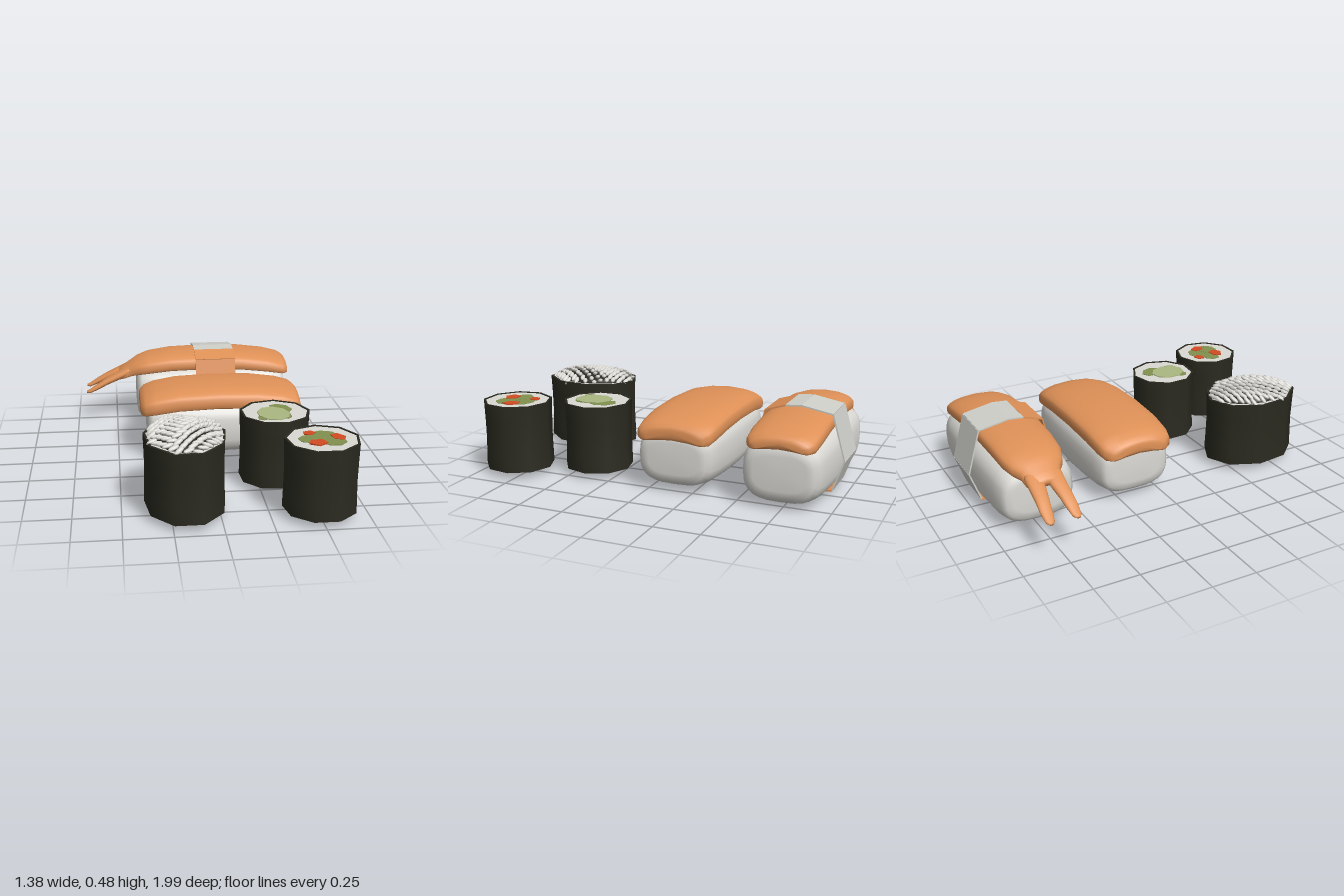
import * as THREE from 'three';
import { toCreasedNormals } from 'three/addons/utils/BufferGeometryUtils.js';

const mat = (name, color) => new THREE.MeshStandardMaterial({ name, color, side: THREE.DoubleSide });

export function createModel() {
  const root = new THREE.Group();
  root.name = 'sushiSet';
  const rice = mat('rice', 0xdad9d4);
  const seafood = mat('seafood', 0xdf9157);
  const seaweed = mat('seaweed', 0x2a2a20);
  const bandPale = mat('bandPale', 0xcfcfca);
  const green = mat('green', 0x82924f);
  const paleGreen = mat('paleGreen', 0xabb981);
  const red = mat('red', 0xd44c22);

  const add = (parent, name, geometry, material, x = 0, y = 0, z = 0) => {
    const m = new THREE.Mesh(geometry, material);
    m.name = name;
    m.position.set(x, y, z);
    parent.add(m);
    return m;
  };
  const group = (name) => {
    const g = new THREE.Group();
    g.name = name;
    root.add(g);
    return g;
  };

  // Smooth loft along x; stations are [x, centreY, halfZ, halfY, centreZ offset].
  // Sections are superellipses of power n that sag by `sag` toward their sides.
  function loft(stations, n = 3, sag = 0, seg = 28) {
    const pos = [], idx = [];
    const pow = (v) => Math.sign(v) * Math.pow(Math.abs(v), 2 / n);
    for (const [x, cy, hz, hy, cz = 0] of stations) {
      for (let j = 0; j < seg; j++) {
        const a = (j / seg) * Math.PI * 2, u = pow(Math.cos(a)), v = pow(Math.sin(a));
        pos.push(x, cy + hy * v - sag * u * u, cz + hz * u);
      }
    }
    const last = stations.length - 1;
    for (let i = 0; i < last; i++) {
      for (let j = 0; j < seg; j++) {
        const k = (j + 1) % seg, a = i * seg + j, b = a + seg, c = i * seg + k, d = c + seg;
        idx.push(a, b, c, b, d, c);
      }
    }
    // end caps
    const c0 = pos.length / 3, c1 = c0 + 1, s = stations[0], e = stations[last];
    pos.push(s[0], s[1], s[4] || 0, e[0], e[1], e[4] || 0);
    for (let j = 0; j < seg; j++) {
      const k = (j + 1) % seg;
      idx.push(c0, j, k, c1, last * seg + k, last * seg + j);
    }
    const g = new THREE.BufferGeometry();
    g.setAttribute('position', new THREE.Float32BufferAttribute(pos, 3));
    g.setIndex(idx);
    g.computeVertexNormals();
    return g;
  }

  // Rice bed: slightly barrelled block with softly rounded ends
  function riceBed(x0, x1, bottom, top, hz) {
    const cx = (x0 + x1) / 2, hx = (x1 - x0) / 2, cy = (bottom + top) / 2, hy = (top - bottom) / 2;
    const rows = [[-1, 0.5], [-0.985, 0.72], [-0.93, 0.85], [-0.75, 0.93], [-0.4, 0.98], [0, 1]];
    const all = [...rows, ...rows.slice(0, -1).reverse().map(([t, k]) => [-t, k])];
    return loft(all.map(([t, k]) => [cx + t * hx, cy, hz * (0.25 + 0.75 * k), hy * k]), 3);
  }

  // Fish piece: arched slab on rice
  const fish = group('fishPiece');
  fish.position.z = -0.155;
  add(fish, 'riceBed', riceBed(-0.33, 0.54, 0.018, 0.36, 0.23), rice);
  add(fish, 'fishTopping', loft([
    [-0.37, 0.325, 0.13, 0.02], [-0.365, 0.325, 0.165, 0.035], [-0.34, 0.335, 0.2, 0.048],
    [-0.28, 0.35, 0.215, 0.054], [-0.15, 0.37, 0.222, 0.055], [0.08, 0.38, 0.226, 0.054],
    [0.3, 0.373, 0.224, 0.055], [0.45, 0.355, 0.218, 0.054], [0.53, 0.34, 0.207, 0.048],
    [0.555, 0.333, 0.18, 0.036], [0.56, 0.333, 0.145, 0.02],
  ], 4, 0.03), seafood);

  // Prawn piece: slab with a forked tail, on rice
  const prawn = group('prawnPiece');
  prawn.position.z = -0.745;
  add(prawn, 'riceBed', riceBed(-0.37, 0.575, 0.012, 0.38, 0.226), rice);
  add(prawn, 'prawnBody', loft([
    [-0.48, 0.318, 0.085, 0.02], [-0.44, 0.335, 0.1, 0.027], [-0.4, 0.355, 0.108, 0.034],
    [-0.36, 0.372, 0.14, 0.04], [-0.29, 0.39, 0.165, 0.046], [-0.15, 0.408, 0.175, 0.048],
    [0.08, 0.415, 0.182, 0.048], [0.3, 0.407, 0.186, 0.048], [0.46, 0.388, 0.187, 0.047],
    [0.56, 0.368, 0.18, 0.042], [0.592, 0.36, 0.155, 0.03], [0.6, 0.358, 0.12, 0.016],
  ], 3.5, 0.025), seafood);
  for (const s of [-1, 1]) {
    add(prawn, s < 0 ? 'tailFinBack' : 'tailFinFront', loft([
      [-0.69, 0.207, 0.012, 0.007, s * 0.072], [-0.67, 0.21, 0.024, 0.012, s * 0.071],
      [-0.62, 0.237, 0.033, 0.018, s * 0.069], [-0.56, 0.27, 0.037, 0.022, s * 0.063],
      [-0.5, 0.297, 0.043, 0.025, s * 0.057], [-0.44, 0.325, 0.048, 0.027, s * 0.054],
      [-0.4, 0.345, 0.045, 0.02, s * 0.054],
    ], 2.2, 0, 14), seafood);
  }

  // Wrapping band: flat panels around the prawn piece, pale at the back, orange in front and below
  const band = group('wrappingBand');
  const loop = [
    [-0.67, 0.464], [-0.755, 0.471], [-0.925, 0.44], [-0.995, 0.195], [-0.935, 0.03],
    [-0.755, 0.005], [-0.555, 0.03], [-0.504, 0.2], [-0.56, 0.43],
  ];
  loop.forEach(([z, y], i) => {
    const [z2, y2] = loop[(i + 1) % loop.length];
    const panel = add(band, 'bandPanel', new THREE.BoxGeometry(0.25, 0.008, Math.hypot(z2 - z, y2 - y)),
      i < 4 ? bandPale : seafood, 0.125, (y + y2) / 2, (z + z2) / 2);
    panel.rotation.x = Math.atan2(-(y2 - y), z2 - z);
  });

  // Seaweed sleeve: nine sides, waisted, with a thin rim
  const BOTTOM = 0.037, TOP = 0.41, H = TOP - BOTTOM;
  function sleeve(r) {
    const profile = [
      [r - 0.012, 0], [r, 0], [r * 0.985, H * 0.25], [r * 0.975, H * 0.5],
      [r * 0.985, H * 0.75], [r, H], [r - 0.012, H], [r - 0.012, 0],
    ].map(([x, y]) => new THREE.Vector2(x, y));
    return toCreasedNormals(new THREE.LatheGeometry(profile, 9), 0.9);
  }

  // Small rolls; fillings are [material, x, z, radiusX, radiusZ, sides, turn]
  function roll(name, x, z, turn, fillings) {
    const g = group(name);
    g.position.set(x, BOTTOM, z);
    add(g, 'seaweedSleeve', sleeve(0.192), seaweed).rotation.y = turn;
    add(g, 'riceCore', new THREE.CylinderGeometry(0.182, 0.182, H - 0.008, 9), rice, 0, H / 2, 0).rotation.y = turn;
    fillings.forEach(([m, fx, fz, rx, rz, sides, t], i) => {
      const geo = new THREE.CylinderGeometry(1, 1, H - 0.004 + i * 0.002, sides).scale(rx, 1, rz).rotateY(t);
      add(g, 'filling', geo, m, fx, H / 2, fz);
    });
  }
  roll('cucumberRoll', 0.337, 0.39, Math.PI - 0.12, [
    [green, 0.04, -0.055, 0.055, 0.075, 7, 0.5],
    [green, -0.075, 0.09, 0.032, 0.035, 6, 0],
    [green, 0.05, 0.065, 0.03, 0.05, 6, 0],
    [paleGreen, -0.012, 0.03, 0.088, 0.105, 9, 0.2],
  ]);
  roll('vegetableRoll', 0.503, 0.808, Math.PI, [
    [green, 0.01, -0.045, 0.08, 0.065, 8, 0],
    [green, -0.06, 0.0, 0.065, 0.055, 7, 0],
    [green, 0.05, 0.04, 0.065, 0.06, 7, 0.4],
    [red, -0.052, -0.08, 0.035, 0.03, 5, 0.3],
    [red, 0.082, -0.012, 0.036, 0.05, 5, 0.4],
    [red, -0.035, 0.055, 0.05, 0.042, 5, 0],
  ]);

  // Oval boat roll
  const boat = group('boatRoll');
  boat.position.set(-0.172, BOTTOM, 0.69);
  const oval = new THREE.Group();
  oval.name = 'ovalBody';
  oval.scale.set(1.08, 1, 1.42);
  boat.add(oval);
  add(oval, 'seaweedSleeve', sleeve(0.198), seaweed).rotation.y = Math.PI;
  add(oval, 'riceCore', new THREE.CylinderGeometry(0.188, 0.188, H - 0.008, 9), rice, 0, H / 2, 0).rotation.y = Math.PI;
  add(oval, 'seaweedBase', new THREE.CylinderGeometry(0.165, 0.165, 0.006, 9), seaweed, 0, 0.003, 0).rotation.y = Math.PI;
  add(oval, 'darkMound', new THREE.SphereGeometry(1, 18, 6, 0, Math.PI * 2, 0, Math.PI / 2).scale(0.155, 0.045, 0.165),
    seaweed, 0, H - 0.004, 0);

  // Heaped grains in staggered rows over the mound
  const grain = new THREE.SphereGeometry(1, 8, 6).scale(0.033, 0.011, 0.014);
  for (let row = -8; row <= 8; row++) {
    for (let col = -4; col <= 4; col++) {
      const x = (col + (row % 2 ? 0.5 : 0)) * 0.048, z = row * 0.03;
      const d = (x / 0.185) ** 2 + (z / 0.255) ** 2;
      if (d > 1) continue;
      const wobble = Math.sin(row * 12.9 + col * 7.3);
      const m = add(boat, 'grain', grain, rice, x, H + 0.002 + 0.057 * (1 - d) + 0.005 * wobble, z);
      m.rotation.set(0.3 * wobble, 0.35 + 0.3 * wobble, -x * 2 + 0.25 * wobble);
    }
  }
  return root;
}
